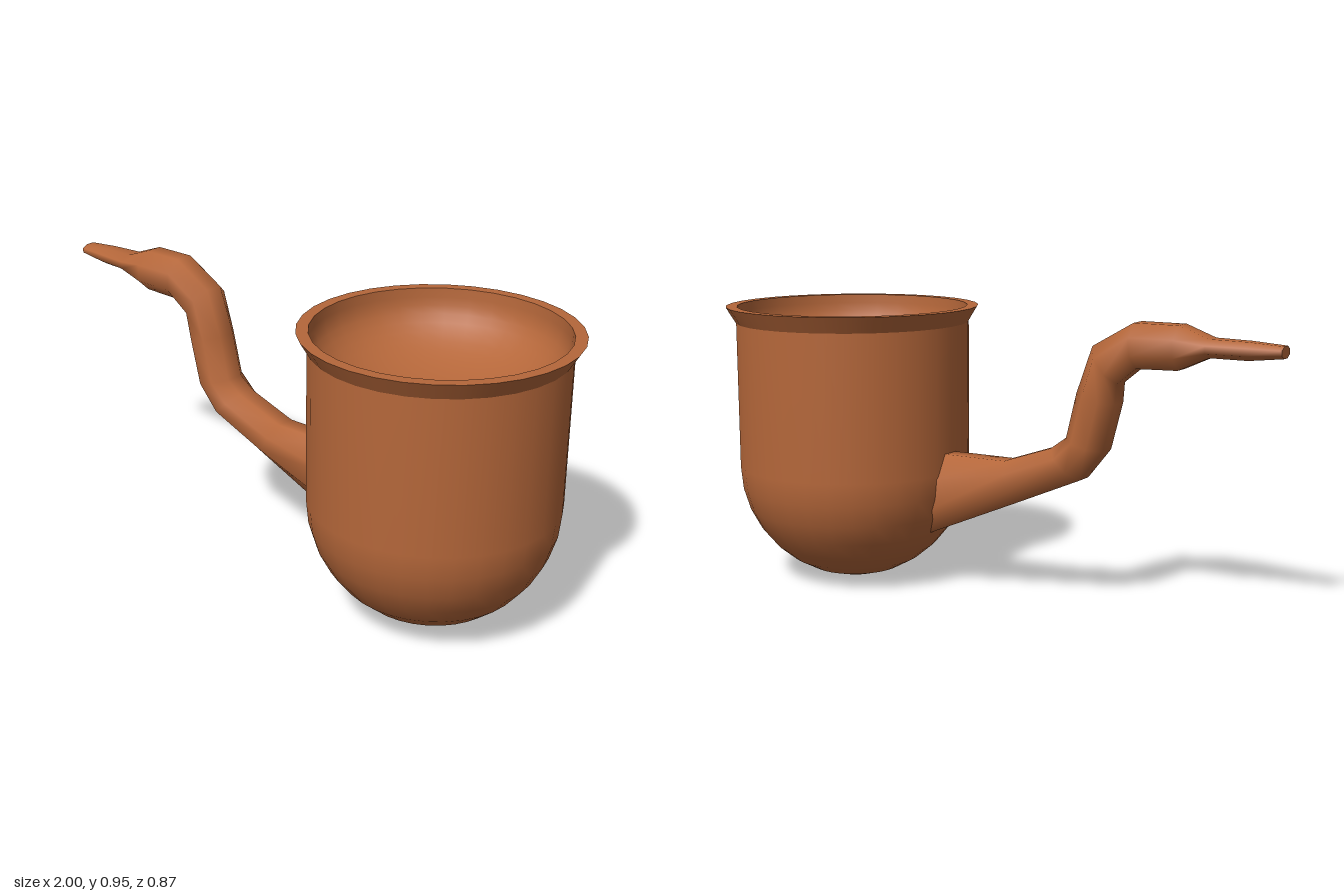
import * as THREE from 'three';

const V = (x, y) => new THREE.Vector2(x, y);

// Tube through sections given as [topX, topY, bottomX, bottomY, halfWidth], closed at both ends
function sectionTube(sections, sides, zShift) {
  const pos = [], idx = [];
  const ring = ([tx, ty, bx, by, w]) => {
    const pts = [], k = Math.cos(Math.PI / sides);
    for (let i = 0; i < sides; i++) {
      const a = ((i + 0.5) / sides) * Math.PI * 2;
      const u = Math.cos(a) / k, v = Math.sin(a) / k;
      pts.push([(tx + bx) / 2 + ((tx - bx) / 2) * u, (ty + by) / 2 + ((ty - by) / 2) * u, zShift + w * v]);
    }
    return pts;
  };
  const rings = sections.map(ring);
  rings.forEach((r) => r.forEach((p) => pos.push(...p)));
  for (let s = 0; s < rings.length - 1; s++) {
    for (let i = 0; i < sides; i++) {
      const a = s * sides + i, b = s * sides + ((i + 1) % sides);
      idx.push(a, b, a + sides, b, b + sides, a + sides);
    }
  }
  // Flat end caps with their own vertices
  [rings[0], rings[rings.length - 1]].forEach((r, end) => {
    const base = pos.length / 3;
    r.forEach((p) => pos.push(...p));
    for (let i = 1; i < sides - 1; i++) {
      if (end) idx.push(base, base + i, base + i + 1);
      else idx.push(base, base + i + 1, base + i);
    }
  });
  const g = new THREE.BufferGeometry();
  g.setAttribute('position', new THREE.Float32BufferAttribute(pos, 3));
  g.setIndex(idx);
  g.computeVertexNormals();
  return g;
}

export function createModel() {
  const model = new THREE.Group();
  model.name = 'pipe';
  const wood = new THREE.MeshStandardMaterial({ color: 0xb5673a, side: THREE.DoubleSide });
  wood.name = 'brown wood';

  const add = (parent, name, geometry) => {
    const mesh = new THREE.Mesh(geometry, wood);
    mesh.name = name;
    parent.add(mesh);
  };

  // Bowl: round-bottomed cup with a flared lip and a dished hollow
  const bowl = new THREE.Group();
  bowl.name = 'bowl';
  bowl.position.x = 0.565;
  model.add(bowl);

  const R = 0.4, steps = 8;
  const outer = [], hollow = [V(0.395, 0.95), V(0.393, 0.92)];
  for (let i = 0; i <= steps; i++) {
    const a = (i / steps) * Math.PI / 2;
    outer.push(V(R * Math.sin(a), R - R * Math.cos(a)));
  }
  outer.push(V(R, 0.895));
  for (let i = 1; i <= 12; i++) {
    const a = (i / 12) * Math.PI / 2;
    hollow.push(V(0.393 * Math.cos(a), 0.92 - 0.2 * Math.sin(a)));
  }
  add(bowl, 'bowlBody', new THREE.LatheGeometry(outer, 32));
  add(bowl, 'bowlLip', new THREE.LatheGeometry([V(R, 0.895), V(0.433, 0.95)], 32));
  add(bowl, 'bowlRim', new THREE.LatheGeometry([V(0.433, 0.95), V(0.395, 0.95)], 32));
  add(bowl, 'bowlHollow', new THREE.LatheGeometry(hollow, 32));

  // Stem: bent tube from the mouthpiece tip down to the bowl
  const w = 0.075;
  add(model, 'stem', sectionTube([
    [-1, 0.905, -1, 0.868, 0.035],
    [-0.89, 0.912, -0.89, 0.856, 0.048],
    [-0.77, 0.914, -0.77, 0.857, 0.063],
    [-0.67, 0.95, -0.67, 0.812, w],
    [-0.52, 0.95, -0.53, 0.808, w],
    [-0.38, 0.87, -0.465, 0.755, w],
    [-0.325, 0.715, -0.46, 0.69, w],
    [-0.29, 0.57, -0.42, 0.535, w],
    [-0.235, 0.53, -0.34, 0.435, w],
    [-0.06, 0.47, -0.12, 0.34, w],
    [0.19, 0.47, 0.26, 0.178, w],
  ], 8, -0.005));

  return model;
}
